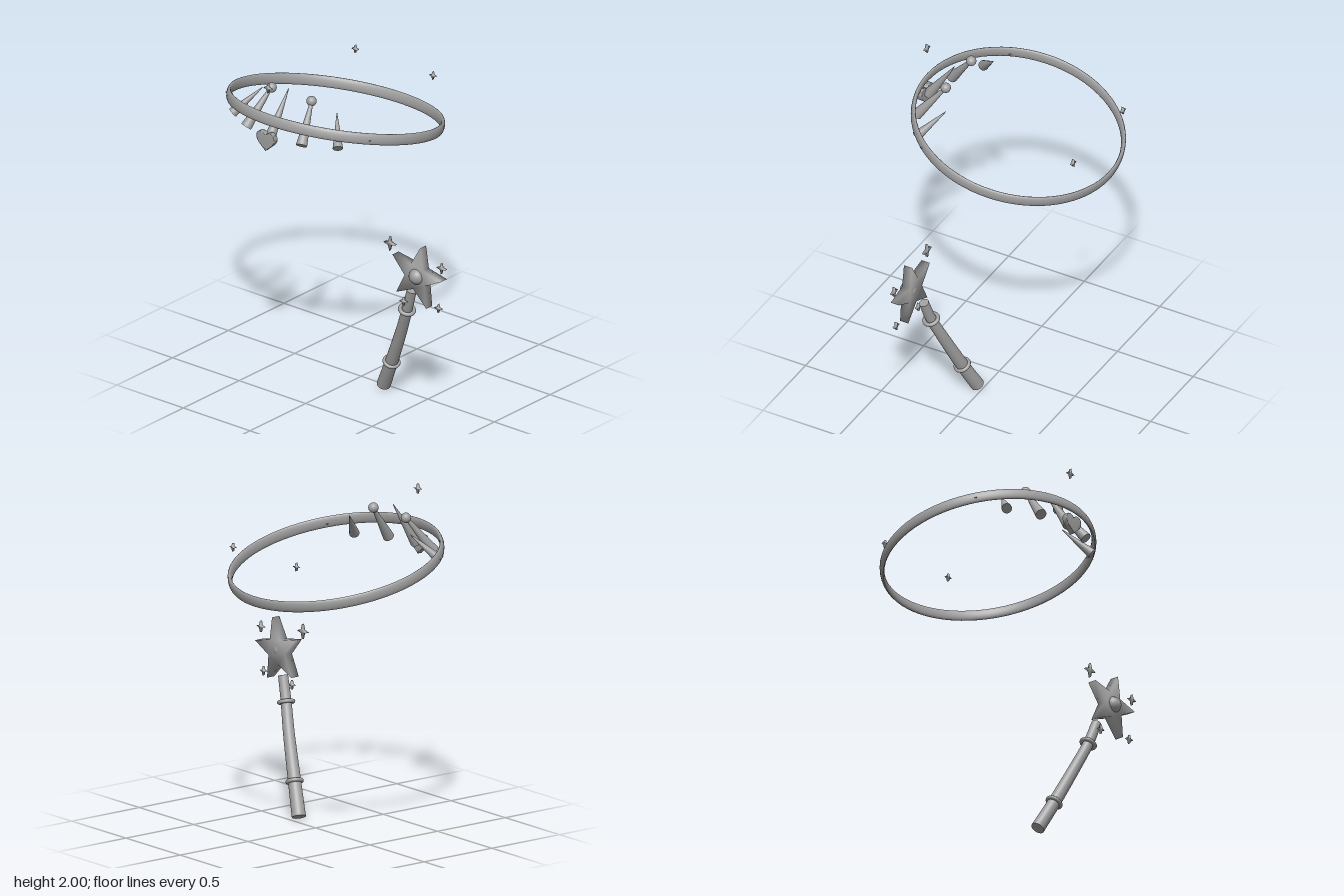
import * as THREE from 'three';
import { mergeVertices } from 'three/addons/utils/BufferGeometryUtils.js';

const UP = new THREE.Vector3(0, 1, 0);
const V = (x, y, z) => new THREE.Vector3(x, y, z);

export function createModel() {
  const model = new THREE.Group();
  const grey = new THREE.MeshStandardMaterial({ color: 0xa0a0a0 });
  grey.name = 'grey';

  function add(parent, name, geometry, x = 0, y = 0, z = 0) {
    const mesh = new THREE.Mesh(geometry, grey);
    mesh.name = name;
    mesh.position.set(x, y, z);
    parent.add(mesh);
    return mesh;
  }

  // Extruded plate centred on its depth, with soft shading over the edges
  function plate(shape, depth) {
    const g = new THREE.ExtrudeGeometry(shape, { depth, bevelEnabled: false, curveSegments: 12 });
    g.translate(0, 0, -depth / 2);
    g.deleteAttribute('uv');
    g.deleteAttribute('normal');
    const merged = mergeVertices(g, 1e-5);
    merged.computeVertexNormals();
    return merged;
  }

  function starShape(points, outer, inner, turn = 0) {
    const pts = [];
    for (let i = 0; i < points * 2; i++) {
      const a = Math.PI / 2 + turn + (i * Math.PI) / points;
      const r = i % 2 ? inner : outer;
      pts.push(new THREE.Vector2(Math.cos(a) * r, Math.sin(a) * r));
    }
    return new THREE.Shape(pts);
  }

  // Tapered rod between two points
  function rod(parent, name, from, to, r0, r1) {
    const dir = to.clone().sub(from);
    const mid = from.clone().add(to).multiplyScalar(0.5);
    const mesh = add(parent, name, new THREE.CylinderGeometry(r1, r0, dir.length(), 24), mid.x, mid.y, mid.z);
    mesh.quaternion.setFromUnitVectors(UP, dir.normalize());
  }

  const sparkle = (parent, x, y, z, r) =>
    add(parent, 'sparkle', plate(starShape(4, r, r * 0.32), 0.016), x, y, z);

  // ---- Tiara ----
  const tiara = new THREE.Group();
  tiara.name = 'tiara';
  tiara.position.x = -0.203;
  model.add(tiara);

  // Tilted band with an oval section
  const section = [];
  for (let i = 0; i <= 16; i++) {
    const a = -Math.PI / 2 + (i / 16) * Math.PI * 2;
    section.push(new THREE.Vector2(0.63 + 0.013 * Math.cos(a), 0.034 * Math.sin(a)));
  }
  const band = add(tiara, 'band', new THREE.LatheGeometry(section, 72), 0, 1.63, -0.012);
  band.scale.z = 0.975;
  band.rotation.x = -0.227;

  // Spikes, the middle pair carrying balls
  rod(tiara, 'centreSpike', V(0, 1.65, 0.58), V(0, 1.905, 0.41), 0.034, 0.002);
  for (const s of [-1, 1]) {
    rod(tiara, 'ballSpike', V(s * 0.208, 1.65, 0.543), V(s * 0.152, 1.86, 0.384), 0.033, 0.009);
    add(tiara, 'spikeBall', new THREE.SphereGeometry(0.03, 24, 16), s * 0.15, 1.86, 0.384);
    rod(tiara, 'outerSpike', V(s * 0.395, 1.65, 0.44), V(s * 0.28, 1.798, 0.311), 0.03, 0.002);
    sparkle(tiara, s * 0.292, 1.745, -0.538, 0.025);
    sparkle(tiara, s * 0.52, 1.7, 0.325, 0.023);
  }
  sparkle(tiara, 0, 1.97, 0.593, 0.03);

  // Heart ornament
  const heart = new THREE.Shape();
  heart.moveTo(0, 0.037);
  heart.bezierCurveTo(0.014, 0.066, 0.066, 0.066, 0.067, 0.022);
  heart.bezierCurveTo(0.067, -0.016, 0.022, -0.034, 0, -0.06);
  heart.bezierCurveTo(-0.022, -0.034, -0.067, -0.016, -0.067, 0.022);
  heart.bezierCurveTo(-0.066, 0.066, -0.014, 0.066, 0, 0.037);
  add(tiara, 'heart', plate(heart, 0.03), 0, 1.643, 0.605);

  // ---- Wand ----
  const wand = new THREE.Group();
  wand.name = 'wand';
  model.add(wand);

  // Tapered handle bent along a gentle curve
  const path = new THREE.CatmullRomCurve3([
    V(0.198, 0.025, 0.035), V(0.294, 0.21, 0.08), V(0.42, 0.47, 0.138),
    V(0.49, 0.628, 0.175), V(0.542, 0.772, 0.194),
  ]);
  const handle = new THREE.CylinderGeometry(0.029, 0.041, 1, 28, 20);
  const pos = handle.attributes.position;
  const q = new THREE.Quaternion();
  for (let i = 0; i < pos.count; i++) {
    const t = THREE.MathUtils.clamp(pos.getY(i) + 0.5, 0, 1);
    q.setFromUnitVectors(UP, path.getTangentAt(t));
    const p = V(pos.getX(i), 0, pos.getZ(i)).applyQuaternion(q).add(path.getPointAt(t));
    pos.setXYZ(i, p.x, p.y, p.z);
  }
  handle.computeVertexNormals();
  add(wand, 'handle', handle);

  // Collars around the handle
  for (const [u, r] of [[0.25, 0.041], [0.75, 0.041]]) {
    const p = path.getPoint(u);
    const collar = add(wand, 'collar', new THREE.TorusGeometry(r, 0.012, 12, 36), p.x, p.y, p.z);
    collar.quaternion.setFromUnitVectors(V(0, 0, 1), path.getTangent(u));
  }

  // Star head with a round stud
  add(wand, 'star', plate(starShape(5, 0.195, 0.08, -0.19), 0.054), 0.622, 0.9, 0.233);
  add(wand, 'stud', new THREE.SphereGeometry(0.048, 28, 18), 0.627, 0.903, 0.249);

  // Sparkles around the star
  for (const [x, y, r] of [[0.42, 1.05, 0.045], [0.807, 1.002, 0.034], [0.783, 0.743, 0.028], [0.521, 0.712, 0.028]]) {
    sparkle(wand, x, y, 0.243, r);
  }

  return model;
}
